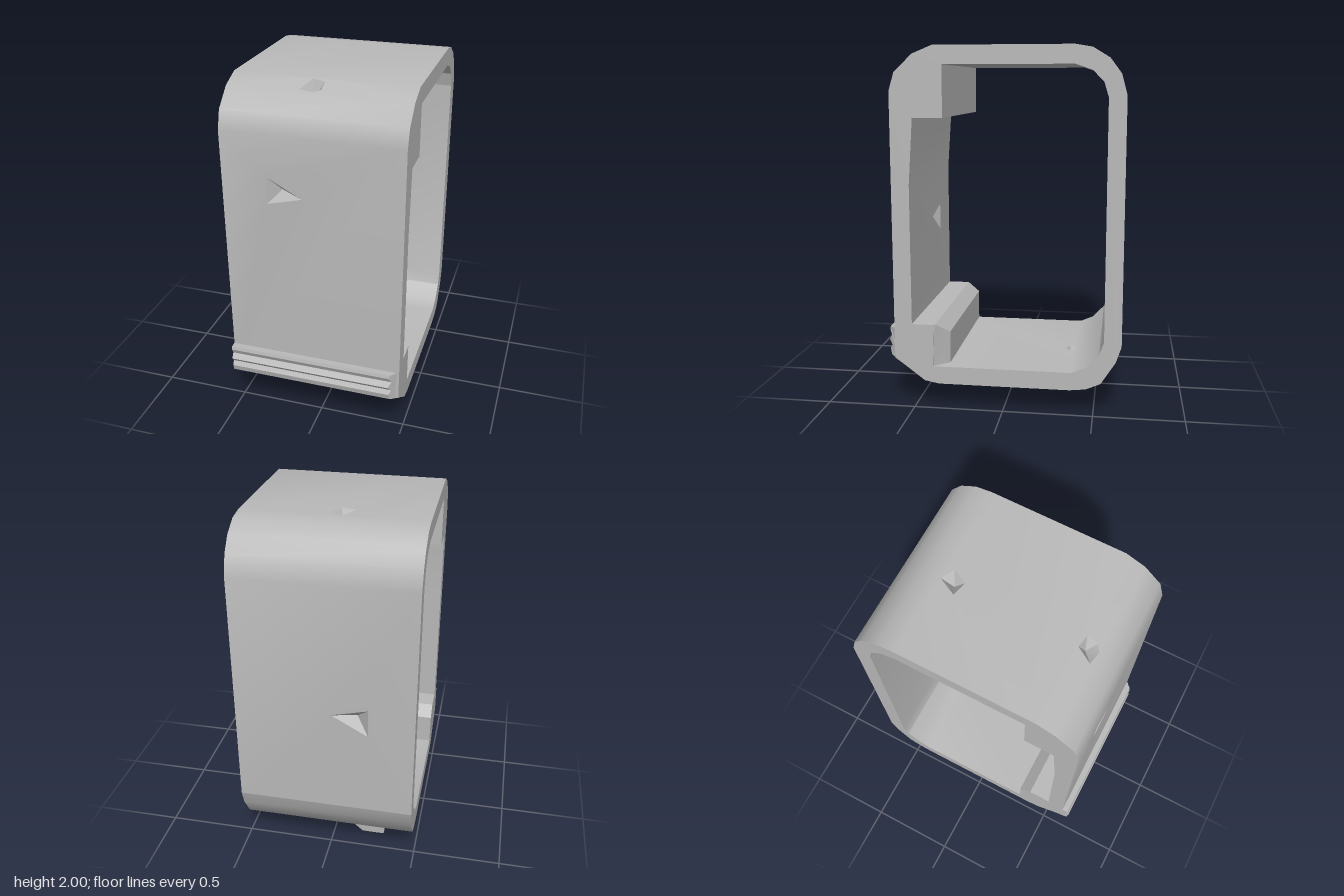
import * as THREE from 'three';
import { mergeGeometries, toCreasedNormals } from 'three/addons/utils/BufferGeometryUtils.js';
import { ConvexGeometry } from 'three/addons/geometries/ConvexGeometry.js';

const HALF = 0.49;

// Band profiles as [z, y]: outside runs up the front and over the top, inside the other way.
const OUTER = [
  [0.61, 0.28], [0.61, 1.76], [0.58, 1.86], [0.48, 1.955], [0.37, 2], [-0.38, 2], [-0.47, 1.985],
  [-0.56, 1.93], [-0.62, 1.85], [-0.65, 1.74], [-0.65, 0.4], [-0.62, 0.31], [-0.54, 0.185],
  [-0.46, 0.15], [-0.37, 0.14], [0.36, 0.14], [0.44, 0.155], [0.58, 0.26],
];
const INNER = [
  [0.485, 1.62], [0.51, 1.26], [0.51, 0.48], [0.39, 0.48], [0.39, 0.24], [-0.38, 0.24], [-0.46, 0.275],
  [-0.53, 0.35], [-0.555, 0.42], [-0.555, 1.73], [-0.53, 1.81], [-0.47, 1.87], [-0.38, 1.9],
  [0.32, 1.9], [0.32, 1.62],
];

// Small pits per profile segment, as [x, distance along the segment].
const OUTER_PITS = {
  0: [[-0.24, 1.25], [-0.24, 1.1], [-0.05, 1.15]],
  3: [[-0.1, 0.02], [-0.03, 0.005], [0.01, 0.03], [0.01, 0.095], [-0.06, 0.11]],
  4: [[-0.05, 0.74], [0.02, 0.7], [-0.02, 0.62], [-0.1, 0.64]],
  9: [[-0.04, 0.74], [-0.24, 0.69], [-0.24, 0.85]],
  14: [[0.05, 0.06], [0.13, 0.04], [0.15, 0.09], [0.07, 0.12]],
  16: [[0.03, 0.02], [0.13, 0.02], [0.14, 0.07], [0.08, 0.09], [0.04, 0.06]],
};
const INNER_PITS = {
  1: [[-0.04, 0.26], [-0.24, 0.21], [-0.24, 0.37]],
  4: [[0.02, 0.73], [0.09, 0.71], [0.12, 0.76], [0.05, 0.79]],
};

const vec2 = (pts, flip = 1) => pts.map(([a, b]) => new THREE.Vector2(a * flip, b));

function bare(geo) {
  const g = geo.index ? geo.toNonIndexed() : geo;
  g.deleteAttribute('uv');
  g.deleteAttribute('normal');
  return g;
}

// One strip of the band skin, with an optional pit sunk into it.
function strip(p, q, pit) {
  const dz = q[0] - p[0], dy = q[1] - p[1], len = Math.hypot(dz, dy);
  const shape = new THREE.Shape(vec2([[-HALF, 0], [HALF, 0], [HALF, len], [-HALF, len]]));
  const parts = [];
  if (pit) {
    const rim = vec2(pit);
    if (THREE.ShapeUtils.isClockWise(rim)) rim.reverse();
    shape.holes.push(new THREE.Path(rim));
    const mid = rim.reduce((s, v) => s.add(v), new THREE.Vector2()).divideScalar(rim.length);
    const pos = [];
    rim.forEach((a, i) => {
      const b = rim[(i + 1) % rim.length];
      pos.push(a.x, a.y, 0, b.x, b.y, 0, mid.x, mid.y, -0.06);
    });
    parts.push(new THREE.BufferGeometry().setAttribute('position', new THREE.Float32BufferAttribute(pos, 3)));
  }
  parts.push(bare(new THREE.ShapeGeometry(shape)));
  const m = new THREE.Matrix4().makeBasis(
    new THREE.Vector3(1, 0, 0),
    new THREE.Vector3(0, dy / len, dz / len),
    new THREE.Vector3(0, -dz / len, dy / len),
  ).setPosition(0, p[1], p[0]);
  return mergeGeometries(parts).applyMatrix4(m);
}

const skin = (profile, pits) =>
  profile.map((p, i) => strip(p, profile[(i + 1) % profile.length], pits[i]));

// Flat ring closing the band on one side.
function cap(side) {
  const shape = new THREE.Shape(vec2(OUTER, -side));
  shape.holes.push(new THREE.Path(vec2(INNER, -side)));
  return bare(new THREE.ShapeGeometry(shape)).rotateY(side * Math.PI / 2).translate(side * HALF, 0, 0);
}

// Bar across the width whose +x end is cut back by a rule of z.
function bar(profile, cut) {
  const geo = new THREE.ExtrudeGeometry(new THREE.Shape(vec2(profile)), { depth: 2 * HALF, bevelEnabled: false });
  geo.rotateY(-Math.PI / 2).translate(HALF, 0, 0);
  const pos = geo.attributes.position;
  for (let i = 0; i < pos.count; i++) {
    if (pos.getX(i) > 0) pos.setX(i, pos.getX(i) - Math.max(0, cut(pos.getZ(i))));
  }
  return toCreasedNormals(geo, 0.3);
}

export function createModel() {
  const group = new THREE.Group();
  const grey = new THREE.MeshStandardMaterial({ color: 0xb8b8b8 });
  grey.name = 'grey';
  const add = (name, geo) => {
    const mesh = new THREE.Mesh(geo, grey);
    mesh.name = name;
    group.add(mesh);
  };

  // Rounded rectangular band
  const band = mergeGeometries([...skin(OUTER, OUTER_PITS), ...skin(INNER, INNER_PITS), cap(1), cap(-1)]);
  add('band', toCreasedNormals(band, 0.7));

  // Ledge inside the lower front corner
  add('innerLedge', bar([[0.4, 0.23], [0.4, 0.48], [0.38, 0.48], [0.31, 0.42], [0.31, 0.23]], z => 0.39 - z));

  // Ribbed lip on the lower front
  add('ribbedLip', bar([
    [0.58, 0.26], [0.64, 0.285], [0.65, 0.32], [0.635, 0.345], [0.655, 0.37],
    [0.635, 0.4], [0.65, 0.43], [0.645, 0.45], [0.6, 0.45],
  ], z => z - 0.6));

  // Pair of tapered feet, mirrored about z = -0.18
  for (const s of [1, -1]) {
    const pts = [
      [-0.3, 0, 0.2], [-0.17, 0, 0.2], [-0.17, 0.02, 0.06], [-0.27, 0.02, 0.07],
      [-0.32, 0.145, 0.21], [-0.02, 0.145, 0.21], [-0.05, 0.145, 0.1], [-0.3, 0.145, 0.02],
    ].map(([x, y, z]) => new THREE.Vector3(x, y, -0.18 + s * z));
    add(s > 0 ? 'frontFoot' : 'backFoot', new ConvexGeometry(pts));
  }
  return group;
}
